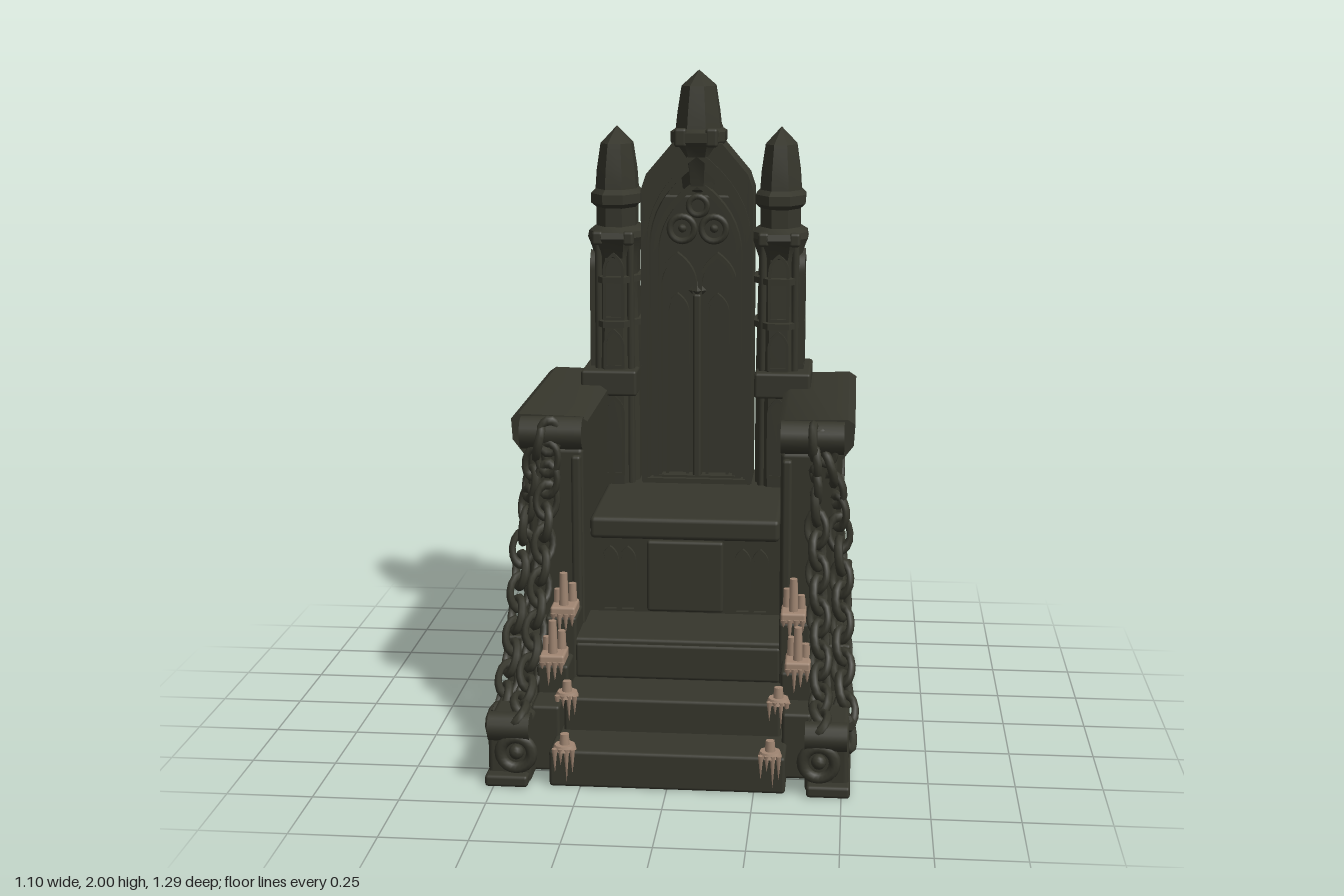
import * as THREE from 'three';
import { RoundedBoxGeometry } from 'three/addons/geometries/RoundedBoxGeometry.js';
import { toCreasedNormals } from 'three/addons/utils/BufferGeometryUtils.js';

const stone = new THREE.MeshStandardMaterial({ color: 0x36362c });
stone.name = 'darkStone';
const wax = new THREE.MeshStandardMaterial({ color: 0xa08672 });
wax.name = 'candleWax';

const BACK_Z = -0.505; // centre line of the throne back

export function createModel() {
  const root = new THREE.Group();
  root.name = 'gothicThrone';

  const add = (name, geo, x = 0, y = 0, z = 0, mat = stone) => {
    const m = new THREE.Mesh(geo, mat);
    m.name = name;
    m.position.set(x, y, z);
    root.add(m);
    return m;
  };
  // Softly worn block given by its limits
  const block = (name, x0, x1, y0, y1, z0, z1, r = 0.01, mat = stone) =>
    add(name, new RoundedBoxGeometry(Math.abs(x1 - x0), y1 - y0, z1 - z0, 2, r),
      (x0 + x1) / 2, (y0 + y1) / 2, (z0 + z1) / 2, mat);
  // Pointed arch outline, half width w and height h, standing on (cx, y)
  const arch = (Type, cx, y, w, h) => {
    const p = new Type(), spring = y + h - 1.7 * w;
    p.moveTo(cx - w, y);
    p.lineTo(cx + w, y);
    p.lineTo(cx + w, spring);
    p.quadraticCurveTo(cx + w, spring + w, cx, y + h);
    p.quadraticCurveTo(cx - w, spring + w, cx - w, spring);
    p.closePath();
    return p;
  };
  const extrude = (shape, depth) => toCreasedNormals(
    new THREE.ExtrudeGeometry(shape, { depth, bevelEnabled: false, curveSegments: 8 }), 0.6);
  // Raised pointed window frame, centred on its own depth
  const lancet = (name, x, y, z, w, h, t, depth, turn = 0) => {
    const s = arch(THREE.Shape, 0, 0, w, h);
    s.holes.push(arch(THREE.Path, 0, t, w - t, h - 2.4 * t));
    const g = extrude(s, depth);
    g.translate(0, 0, -depth / 2);
    add(name, g, x, y, z).rotation.y = turn;
  };
  // Eight sided tower section from [half width, y] points, stretched in z
  const octagon = (name, x, pts, zScale) => {
    const k = 1 / Math.cos(Math.PI / 8);
    const g = new THREE.LatheGeometry(pts.map(([r, y]) => new THREE.Vector2(r * k, y)), 8);
    g.rotateY(Math.PI / 8);
    g.scale(1, 1, zScale);
    return add(name, toCreasedNormals(g, 0.5), x, 0, BACK_Z);
  };
  // Chain of alternating oval links along a curve
  const chain = (name, points) => {
    const c = new THREE.CatmullRomCurve3(points.map(p => new THREE.Vector3(...p)));
    const n = Math.round(c.getLength() / 0.068);
    const geo = new THREE.TorusGeometry(0.043, 0.014, 7, 14);
    geo.scale(0.75, 1.15, 1);
    const up = new THREE.Vector3(0, 1, 0);
    for (let i = 0; i <= n; i++) {
      const p = c.getPointAt(i / n);
      const link = add(name, geo, p.x, p.y, p.z);
      link.quaternion.setFromUnitVectors(up, c.getTangentAt(i / n));
      link.rotateY(i % 2 ? 2.3 : 0.75);
    }
  };
  // Group of melted candles on a wax slab
  const candles = (x, y, z, s, tall) => {
    block('waxSlab', x - 0.038, x + 0.038, y - 0.015, y + 0.02, z - 0.05, z + 0.05, 0.008, wax);
    [[0, 0.02, 1], [-0.02, -0.025, 0.55], [0.022, -0.012, 0.4]].forEach(([dx, dz, f]) =>
      add('candle', new THREE.CylinderGeometry(0.012, 0.015, tall * f + 0.02, 10),
        x + dx * s, y + tall * f / 2 + 0.01, z + dz, wax));
    for (let i = 0; i < 4; i++) {
      const len = 0.03 + 0.022 * ((i * 3) % 4);
      add('waxDrip', new THREE.ConeGeometry(0.009, len, 6).rotateX(Math.PI),
        x + (i - 1.5) * 0.019, y - len / 2, z + 0.048, wax);
    }
  };
  // Wax spilled over a step edge
  const spill = (x, y, z, len) => {
    add('waxPool', new THREE.CylinderGeometry(0.03, 0.036, 0.016, 9), x, y + 0.006, z - 0.02, wax);
    add('candleStub', new THREE.CylinderGeometry(0.013, 0.016, 0.04, 9), x, y + 0.025, z - 0.02, wax);
    for (let i = 0; i < 4; i++) {
      const l = len * (0.5 + 0.5 * ((i * 2 + 1) % 3) / 2);
      add('waxDrip', new THREE.ConeGeometry(0.009, l, 6).rotateX(Math.PI),
        x + (i - 1.5) * 0.017, y - l / 2 + 0.008, z + 0.006, wax);
    }
  };

  // Base, steps and seat
  block('base', -0.52, 0.52, 0, 0.335, -0.65, 0.27);
  block('topStep', -0.31, 0.31, 0.21, 0.32, -0.1, 0.275);
  block('middleStep', -0.32, 0.32, 0, 0.21, 0.2, 0.45);
  block('bottomStep', -0.34, 0.34, 0, 0.11, 0.3, 0.615);
  block('seatBody', -0.31, 0.31, 0.32, 0.6, -0.6, 0);
  block('seatSlab', -0.295, 0.295, 0.58, 0.65, -0.6, 0.04, 0.015);
  block('seatFrontPanel', -0.12, 0.12, 0.34, 0.57, -0.05, 0.015);
  block('backFooting', -0.2, 0.2, 0.33, 0.65, -0.63, -0.45);

  // Tall back panel with a gabled arch surround
  block('backPlate', -0.17, 0.17, 0.64, 1.6, BACK_Z - 0.03, BACK_Z + 0.03);
  const gable = new THREE.Shape();
  [[-0.182, 0.64], [0.182, 0.64], [0.182, 1.62], [0.165, 1.67], [0.08, 1.77], [-0.08, 1.77], [-0.165, 1.67], [-0.182, 1.62]]
    .forEach(([x, y], i) => (i ? gable.lineTo(x, y) : gable.moveTo(x, y)));
  gable.closePath();
  gable.holes.push(arch(THREE.Path, 0, 0.66, 0.155, 1.04));
  add('gableArch', extrude(gable, 0.17), 0, 0, BACK_Z - 0.085);
  add('archBacking', extrude(arch(THREE.Shape, 0, 0.65, 0.16, 1.06), 0.05), 0, 0, BACK_Z - 0.025);

  // Tracery on both faces of the back
  for (const f of [1, -1]) {
    const z = BACK_Z + f * 0.04;
    lancet('outerMoulding', 0, 0.65, BACK_Z + f * 0.085, 0.178, 1.1, 0.016, 0.024);
    lancet('innerMoulding', 0, 0.655, z + f * 0.012, 0.145, 1.0, 0.018, 0.05);
    for (const s of [1, -1]) {
      lancet('panelLancet', s * 0.066, 0.655, z, 0.064, 0.76, 0.013, 0.05);
      lancet('innerLancet', s * 0.066, 0.66, z, 0.038, 0.62, 0.009, 0.03);
      add('traceryRing', new THREE.TorusGeometry(0.04, 0.011, 7, 20), s * 0.052, 1.49, z);
      add('traceryBoss', new THREE.SphereGeometry(0.014, 8, 6), s * 0.052, 1.49, z - f * 0.01);
    }
    add('traceryRing', new THREE.TorusGeometry(0.03, 0.01, 7, 20), 0, 1.565, z);
    block('centreMullion', -0.013, 0.013, 0.65, 1.28, z - 0.035, z + 0.035, 0.008);
    add('mullionCapital', new THREE.OctahedronGeometry(0.03), 0, 1.29, z + f * 0.01);
  }

  // Central pinnacle
  octagon('centrePinnacle', 0, [[0, 1.6], [0.05, 1.62], [0.062, 1.72], [0.088, 1.775], [0.088, 1.805],
    [0.072, 1.815], [0.066, 1.87], [0.054, 1.95], [0, 2]], 1.5);
  for (const f of [1, -1])
    for (const x of [-0.05, 0.05])
      block('pinnacleCrocket', x - 0.02, x + 0.02, 1.76, 1.82, BACK_Z + f * 0.115 - 0.018, BACK_Z + f * 0.115 + 0.018);

  for (const s of [1, -1]) {
    // Side towers with collars and caps
    const tx = s * 0.268;
    octagon('tower', tx, [[0, 0.33], [0.076, 0.33], [0.076, 1.0], [0.072, 1.2], [0.068, 1.4], [0.084, 1.45],
      [0.09, 1.465], [0.086, 1.485], [0.064, 1.5], [0.064, 1.56], [0.08, 1.575], [0.08, 1.605],
      [0.066, 1.62], [0.062, 1.68], [0.05, 1.765], [0, 1.82]], 1.62);
    block('towerFoot', s * 0.192, s * 0.375, 0.95, 1.035, -0.645, -0.36);
    for (const y of [1.185, 1.33])
      octagon('towerBand', tx, [[0.06, y - 0.014], [0.083, y - 0.01], [0.083, y + 0.01], [0.06, y + 0.014]], 1.6);
    for (const f of [1, -1]) {
      for (const [y, h] of [[0.68, 0.27], [1.04, 0.13], [1.2, 0.22]])
        lancet('towerLancet', tx, y, BACK_Z + f * 0.115, 0.034, h, 0.009, 0.026);
      for (const dx of [-0.052, 0.052])
        add('towerShaft', new THREE.CylinderGeometry(0.012, 0.014, 0.82, 8), tx + dx, 1.04, BACK_Z + f * 0.092);
      for (const dx of [-0.05, 0.05])
        block('collarCrocket', tx + dx - 0.018, tx + dx + 0.018, 1.445, 1.49, BACK_Z + f * 0.125 - 0.018, BACK_Z + f * 0.125 + 0.018);
    }
    for (const dz of [-0.045, 0.045])
      lancet('towerSideLancet', tx + s * 0.07, 1.04, BACK_Z + dz, 0.038, 0.38, 0.01, 0.024, Math.PI / 2);

    // Arm wall with sunken pointed windows
    block('armWall', s * 0.3, s * 0.45, 0.3, 0.9, -0.635, 0.12);
    const wall = new THREE.Shape();
    wall.moveTo(-0.635, 0.32);
    wall.lineTo(0.12, 0.32);
    wall.lineTo(0.12, 0.88);
    wall.lineTo(-0.635, 0.88);
    wall.closePath();
    for (const z of [-0.12, -0.37]) wall.holes.push(arch(THREE.Path, z, 0.37, 0.078, 0.38));
    add('armOuterPanel', extrude(wall, 0.035).rotateY(-Math.PI / 2), s > 0 ? 0.482 : -0.447);
    for (const z of [-0.12, -0.37]) {
      lancet('armWindowMoulding', s * 0.482, 0.365, z, 0.088, 0.4, 0.014, 0.016, Math.PI / 2);
      for (const d of [-0.035, 0.035])
        lancet('armWindowLight', s * 0.458, 0.37, z + d, 0.036, 0.3, 0.011, 0.022, Math.PI / 2);
    }
    block('armPlinth', s * 0.4, s * 0.498, 0.33, 0.36, -0.645, 0.16);
    block('armCornerPier', s * 0.4, s * 0.496, 0.33, 0.44, -0.645, -0.52);
    lancet('seatSideLancet', s * 0.235, 0.34, 0.005, 0.026, 0.21, 0.007, 0.02);
    lancet('seatSideLancet', s * 0.18, 0.34, 0.005, 0.026, 0.21, 0.007, 0.02);

    // Arm cap with slanted underside and a rolled front
    const cap = new THREE.Shape();
    [[0.288, 0.86], [0.48, 0.86], [0.518, 0.91], [0.522, 0.975], [0.5, 0.99], [0.31, 0.985], [0.288, 0.97]]
      .forEach(([x, y], i) => (i ? cap.lineTo(s * x, y) : cap.moveTo(s * x, y)));
    cap.closePath();
    add('armCap', extrude(cap, 0.765), 0, 0, -0.65);
    const roll = add('armRoll', new THREE.CylinderGeometry(0.05, 0.05, 0.19, 14), s * 0.395, 0.935, 0.122);
    roll.rotation.z = Math.PI / 2;
    block('armFrontPier', s * 0.3, s * 0.47, 0.3, 0.89, 0.05, 0.135, 0.015);
    block('armFrontRib', s * 0.305, s * 0.335, 0.33, 0.87, 0.1, 0.155);

    // Low stepped flank beside the stairs
    block('flankPlinth', s * 0.395, s * 0.52, 0, 0.19, 0.25, 0.6, 0.015);
    block('flankFoot', s * 0.4, s * 0.525, 0, 0.035, 0.25, 0.635);
    block('upperPedestal', s * 0.305, s * 0.4, 0.1, 0.4, 0.1, 0.275);
    block('middlePedestal', s * 0.315, s * 0.41, 0.1, 0.285, 0.26, 0.385);
    block('lowerPedestal', s * 0.325, s * 0.41, 0, 0.2, 0.36, 0.5);
    const scroll = add('flankScroll', new THREE.CylinderGeometry(0.042, 0.042, 0.12, 14), s * 0.455, 0.172, 0.595);
    scroll.rotation.z = Math.PI / 2;
    add('flankRing', new THREE.TorusGeometry(0.046, 0.017, 8, 20), s * 0.435, 0.1, 0.615);
    add('ringBoss', new THREE.SphereGeometry(0.022, 10, 8), s * 0.435, 0.1, 0.608);

    // Draped chains
    chain('innerChainLink', [[s * 0.4, 0.93, 0.155], [s * 0.41, 0.72, 0.16], [s * 0.42, 0.5, 0.235],
      [s * 0.43, 0.33, 0.33], [s * 0.435, 0.215, 0.45], [s * 0.435, 0.2, 0.57]]);
    chain('outerChainLink', [[s * 0.43, 0.91, 0.145], [s * 0.465, 0.76, 0.13], [s * 0.485, 0.58, 0.16],
      [s * 0.492, 0.4, 0.235], [s * 0.5, 0.25, 0.34], [s * 0.515, 0.13, 0.45]]);
    add('chainAnchor', new THREE.DodecahedronGeometry(0.026), s * 0.515, 0.16, 0.46);

    // Candles and spilled wax
    candles(s * 0.347, 0.41, 0.225, s, 0.1);
    candles(s * 0.365, 0.295, 0.335, s, 0.1);
    spill(s * 0.312, 0.21, 0.45, 0.08);
    spill(s * 0.296, 0.11, 0.615, 0.1);
  }
  return root;
}
